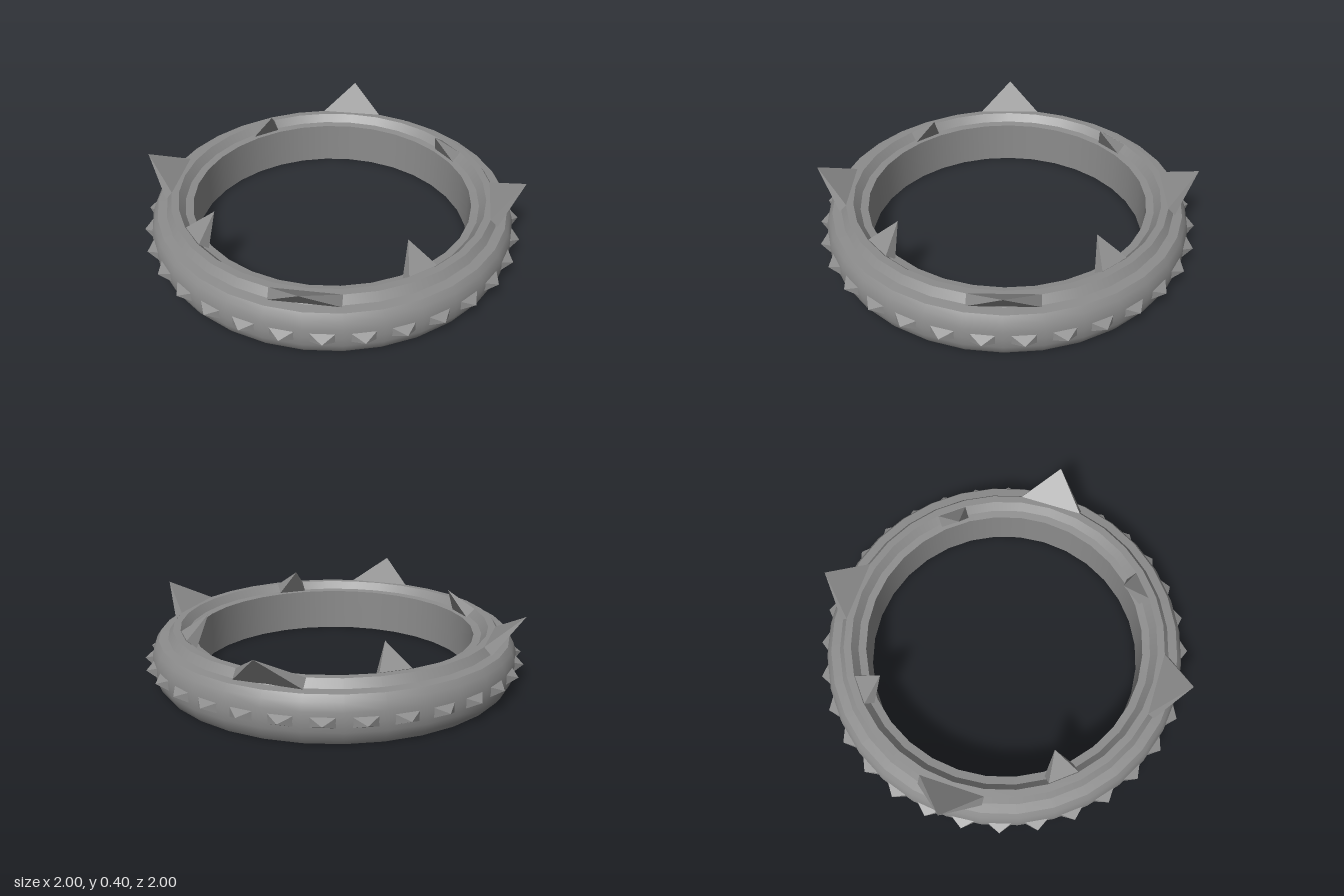
import * as THREE from 'three';
import { ConvexGeometry } from 'three/addons/geometries/ConvexGeometry.js';

const SIDES = 32;

// Four-sided spike pointing along +z: base corners (±halfWidth, y, z) for two [y, z] edges, plus an apex
function spike(halfWidth, edgeA, edgeB, apex) {
  const pts = [new THREE.Vector3(0, apex[0], apex[1])];
  for (const [y, z] of [edgeA, edgeB]) {
    for (const s of [-1, 1]) pts.push(new THREE.Vector3(s * halfWidth, y, z));
  }
  return new ConvexGeometry(pts);
}

export function createModel() {
  const model = new THREE.Group();
  const steel = new THREE.MeshStandardMaterial({ color: 0x8c8c8c });
  steel.name = 'grey steel';

  // Ring: [radius, height] runs, split wherever the profile has a sharp edge
  const runs = {
    outerWall: [[0.92, 0], [0.942, 0.03], [0.957, 0.07], [0.96, 0.117], [0.957, 0.165], [0.942, 0.205], [0.922, 0.235]],
    outerLedge: [[0.922, 0.235], [0.875, 0.24]],
    outerStep: [[0.875, 0.24], [0.848, 0.28]],
    topRim: [[0.848, 0.28], [0.81, 0.28]],
    innerStep: [[0.81, 0.28], [0.777, 0.24]],
    innerLedge: [[0.777, 0.24], [0.737, 0.235]],
    innerWall: [[0.737, 0.235], [0.737, 0]],
    underside: [[0.737, 0], [0.92, 0]],
  };
  const ring = new THREE.Group();
  ring.name = 'ring';
  for (const [name, pts] of Object.entries(runs)) {
    const geo = new THREE.LatheGeometry(pts.map(([r, y]) => new THREE.Vector2(r, y)), SIDES);
    const mesh = new THREE.Mesh(geo, steel);
    mesh.name = name;
    ring.add(mesh);
  }
  model.add(ring);

  // Repeats one geometry around the vertical axis
  function around(name, geo, count, start) {
    const group = new THREE.Group();
    group.name = name + 's';
    for (let i = 0; i < count; i++) {
      const mesh = new THREE.Mesh(geo, steel);
      mesh.name = name;
      mesh.rotation.y = start + (i / count) * Math.PI * 2;
      group.add(mesh);
    }
    model.add(group);
  }

  // Small pyramid studs, one in the middle of each side
  around('stud', spike(0.065, [0.09, 0.948], [0.145, 0.948], [0.117, 1.0]), SIDES, Math.PI / SIDES);

  // Four large spikes leaning outward
  around('outerSpike', spike(0.17, [0.28, 0.83], [0.238, 0.868], [0.4, 1.0]), 4, 0);

  // Four small spikes leaning inward
  around('innerSpike', spike(0.08, [0.28, 0.803], [0.237, 0.755], [0.38, 0.676]), 4, Math.atan2(0.433, 0.519));

  return model;
}
